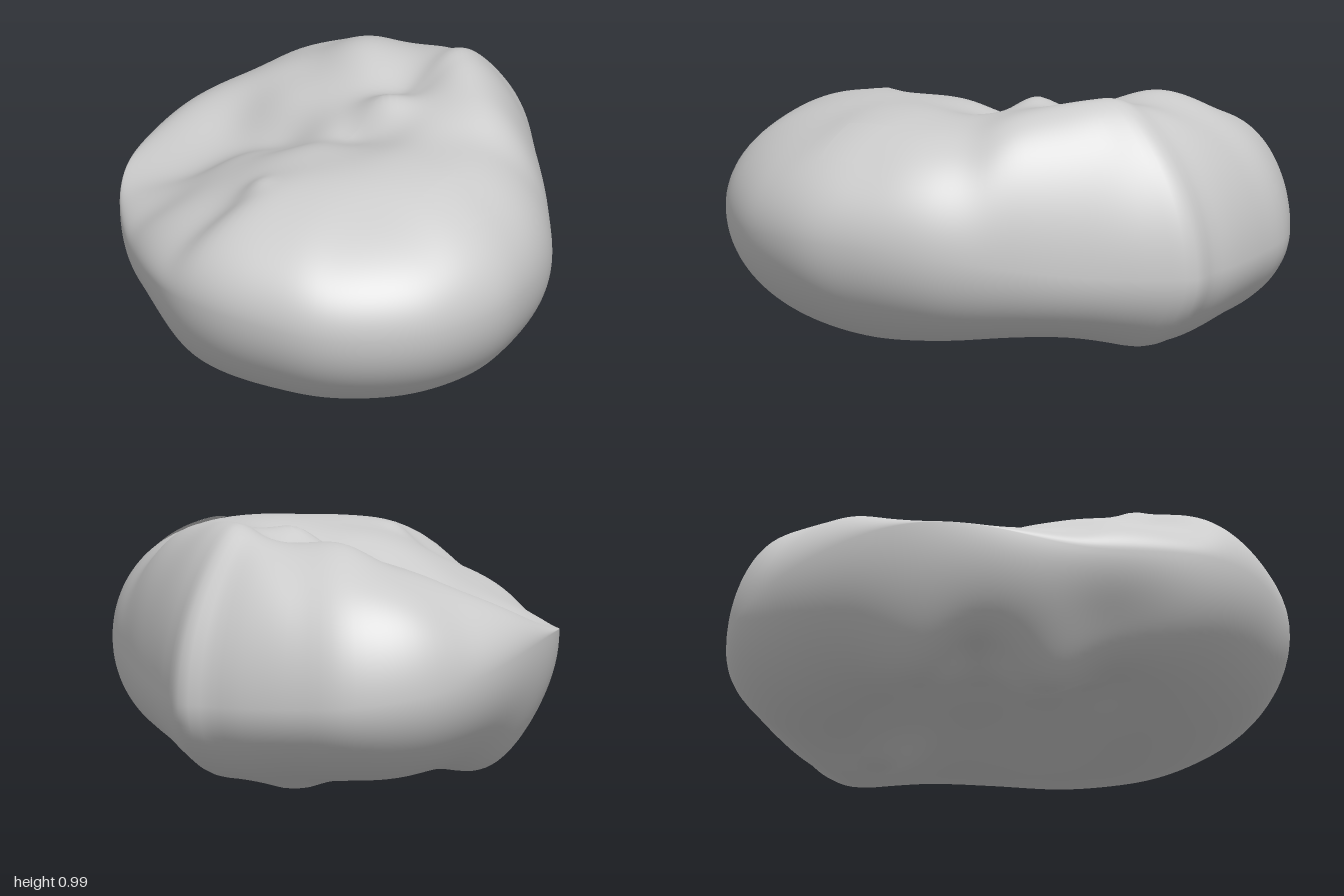
import * as THREE from 'three';

// Plan outline of the fruit (x, z)
const outline = new THREE.CatmullRomCurve3([
  [0.935, 0.3], [0.855, 0.57], [0.7, 0.77], [0.51, 0.91], [0.3, 0.975], [0.08, 1], [-0.1, 0.97], [-0.3, 0.86],
  [-0.55, 0.65], [-0.78, 0.38], [-0.9, 0.12], [-0.94, -0.2], [-0.9, -0.5], [-0.78, -0.75], [-0.55, -0.93],
  [-0.35, -0.97], [-0.12, -0.99], [0.02, -0.985], [0.13, -0.995], [0.24, -0.89], [0.38, -0.73], [0.6, -0.48],
  [0.81, -0.2], [0.91, 0.08],
].map(([x, z]) => new THREE.Vector3(x, 0, z)), true).getPoints(360);

// Heights on the lumpy top (x, z, y)
const topHeights = [
  [0.15, 0.8, 0.79], [0.2, 0.5, 0.88], [0.35, 0.2, 0.91], [0.6, 0.2, 0.87], [0.8, 0.2, 0.75], [0.1, 0.2, 0.88],
  [0.42, -0.05, 0.88], [0.38, -0.42, 0.96], [0.15, -0.55, 1.04], [0, -0.78, 0.87], [-0.3, -0.6, 0.94],
  [-0.6, -0.5, 0.8], [-0.8, -0.3, 0.72], [-0.65, -0.75, 0.71], [-0.45, -0.25, 0.83], [-0.2, -0.22, 0.85],
  [-0.55, 0.02, 0.61], [-0.7, 0.22, 0.55], [-0.28, 0.1, 0.75], [-0.3, 0.4, 0.74], [-0.52, 0.42, 0.6],
  [-0.08, 0.35, 0.85], [-0.25, 0.7, 0.67], [0, -0.37, 0.85], [0.62, -0.1, 0.85], [0.58, 0.52, 0.79],
  [-0.75, -0.05, 0.63], [0.08, -0.01, 0.83], [0.25, -0.25, 0.91], [-0.15, -0.5, 0.94], [0.12, -0.88, 0.72],
  [-0.85, -0.25, 0.68],
];
// Small lumps and hollows (x, z, height, width)
const topLumps = [[0.04, -0.18, 0.07, 0.08], [0.02, -0.02, -0.03, 0.08], [0.02, -0.37, -0.03, 0.09],
  [-0.3, -0.04, -0.05, 0.1], [-0.02, 0.54, 0.02, 0.04]];
const bottomLumps = [[-0.1, -0.1, 0.1, 0.3], [-0.4, 0.4, -0.11, 0.12], [-0.12, 0.42, 0.06, 0.12],
  [-0.58, 0.17, 0.07, 0.08], [-0.72, 0, -0.12, 0.16], [-0.13, -0.5, -0.07, 0.1], [0.4, 0.2, -0.03, 0.3],
  [0, -0.78, -0.06, 0.2], [-0.6, -0.6, -0.05, 0.25]];

const TOP_POWER = 2.8, BOTTOM_POWER = 3.5;
const bell = (d2, w) => Math.exp(-d2 / (2 * w * w));
const lumps = (list, x, z) => list.reduce((s, [a, b, h, w]) => s + h * bell((x - a) ** 2 + (z - b) ** 2, w), 0);

// Radius of the outline in a given direction
function rim(angle) {
  const c = Math.cos(angle), s = Math.sin(angle);
  const side = p => c * p.z - s * p.x;
  for (let i = 0; i < outline.length - 1; i++) {
    const p = outline[i], q = outline[i + 1], a = side(p), b = side(q);
    if (a <= 0 && b > 0 && p.x * c + p.z * s > 0) {
      const t = a / (a - b);
      return Math.hypot(p.x + (q.x - p.x) * t, p.z + (q.z - p.z) * t);
    }
  }
  return 1;
}
// Height of the widest line around the fruit, sagging in three directions (angle, drop)
const sags = [[0.85, 0.07], [2.3, 0.13], [3.9, 0.05]];
const equator = a => sags.reduce((y, [b, drop]) => y - drop * Math.exp(6 * (Math.cos(a - b) - 1)),
  0.5 + 0.1 * Math.sin(a) - 0.045 * Math.cos(a) + 0.035 * Math.cos(2 * a));
const dome = (r, power) => Math.sqrt(Math.max(0, 1 - r ** power));

function domeAt(x, z) {
  const angle = Math.atan2(z, x);
  return [dome(Math.hypot(x, z) / rim(angle), TOP_POWER), equator(angle)];
}
// Each height as the crown of the dome that passes through it
const crowns = topHeights.map(([x, z, y]) => {
  const [d, e] = domeAt(x, z);
  return [x, z, e + (y - e) / d];
});
function topY(x, z, d, e) {
  let sum = 0, weight = 0;
  for (const [a, b, h] of crowns) {
    const w = bell((x - a) ** 2 + (z - b) ** 2, 0.13) + 1e-5;
    sum += w * h;
    weight += w;
  }
  return e + (sum / weight + lumps(topLumps, x, z) - e) * d;
}
const bottomY = (x, z, d, e) => e - (e - 0.03 - lumps(bottomLumps, x, z)) * d;

function fruitGeometry(rings = 96, segments = 144) {
  const pos = [], index = [];
  const rims = Array.from({ length: segments }, (_, j) => rim(j / segments * Math.PI * 2));
  const last = 1 + (rings - 1) * segments;
  const id = (i, j) => i === 0 ? 0 : i === rings ? last : 1 + (i - 1) * segments + j % segments;
  for (let i = 0; i <= rings; i++) {
    const phi = i / rings * Math.PI, r = Math.abs(Math.sin(phi)), upper = i < rings / 2;
    const d = dome(r, upper ? TOP_POWER : BOTTOM_POWER);
    const count = i === 0 || i === rings ? 1 : segments;
    for (let j = 0; j < count; j++) {
      const a = j / segments * Math.PI * 2;
      const x = r * rims[j] * Math.cos(a), z = r * rims[j] * Math.sin(a);
      const y = (upper ? topY : bottomY)(x, z, d, equator(a));
      // Dent low on the front flank, beside the foot lump
      const dent = 1 - 0.05 * bell((a - 2.1) ** 2, 0.2) * bell((phi - 2) ** 2, 0.2);
      pos.push(x * dent, Math.max(0, y), z * dent);
    }
  }
  for (let i = 0; i < rings; i++) for (let j = 0; j < segments; j++) {
    const a = id(i, j), b = id(i + 1, j), c = id(i, j + 1), d = id(i + 1, j + 1);
    if (i > 0) index.push(a, c, b);
    if (i < rings - 1) index.push(c, d, b);
  }
  const g = new THREE.BufferGeometry();
  g.setAttribute('position', new THREE.Float32BufferAttribute(pos, 3));
  g.setIndex(index);
  g.computeVertexNormals();
  return g;
}

// Square patch draped just above the skin
function patchGeometry() {
  const g = new THREE.PlaneGeometry(0.2, 0.21, 8, 8).rotateX(-Math.PI / 2).translate(0.68, 0, 0.195);
  const p = g.attributes.position;
  for (let i = 0; i < p.count; i++) {
    const x = p.getX(i), z = p.getZ(i);
    p.setY(i, topY(x, z, ...domeAt(x, z)) + 0.012);
  }
  g.computeVertexNormals();
  return g;
}

export function createModel() {
  const group = new THREE.Group();
  const add = (name, geometry, side) => {
    const mesh = new THREE.Mesh(geometry, new THREE.MeshStandardMaterial({ color: 0xcccccc, side }));
    mesh.name = name;
    group.add(mesh);
  };
  add('fruitBody', fruitGeometry(), THREE.FrontSide);
  add('sticker', patchGeometry(), THREE.DoubleSide);
  return group;
}
